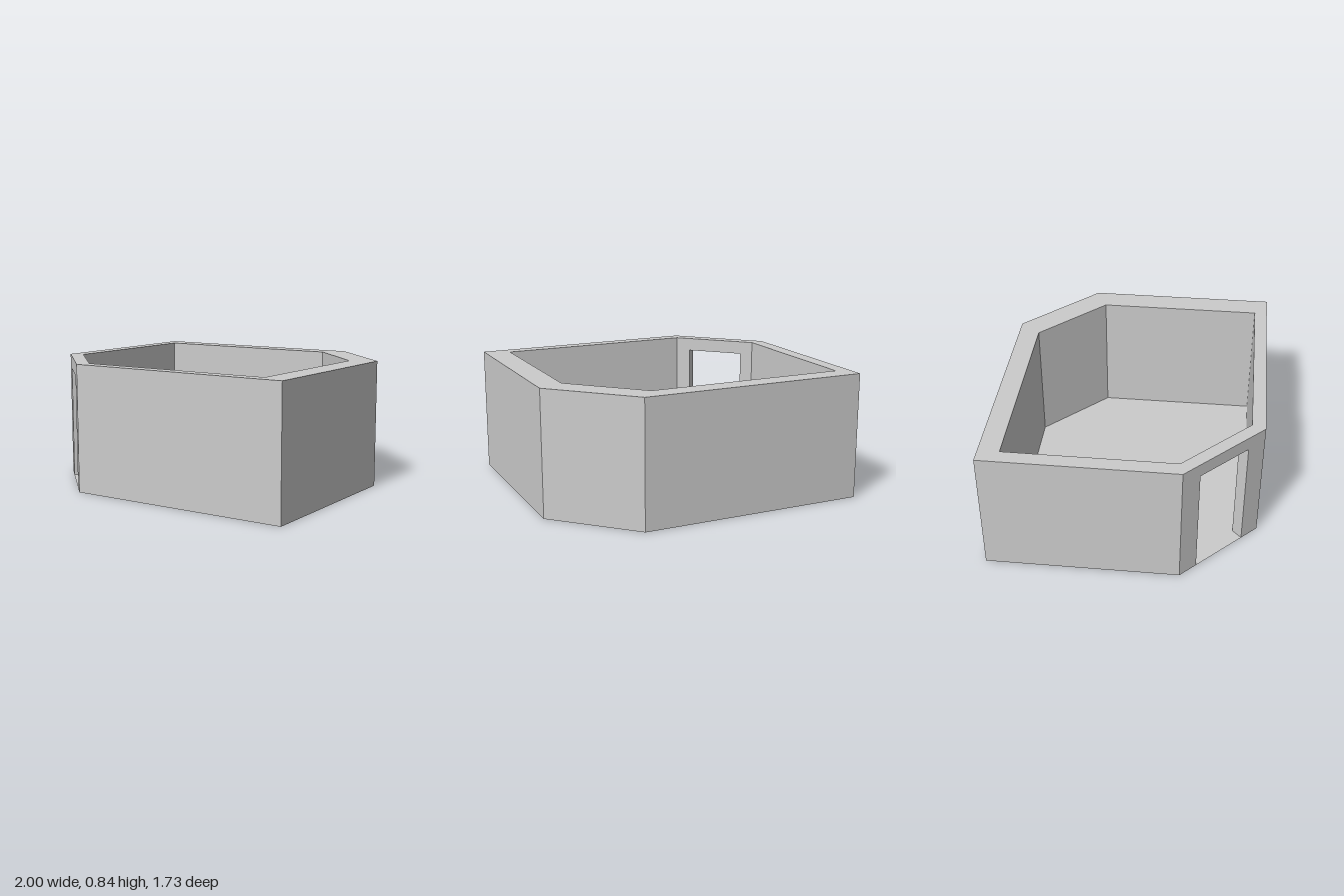
import * as THREE from 'three';

const HEIGHT = 0.84, DOOR_HEIGHT = 0.75;
const material = new THREE.MeshStandardMaterial({ color: 0xcccccc, flatShading: true, side: THREE.DoubleSide });

// Plan outlines as [x, z]; the first edge of each is the chamfer holding the doorway
const outer = [[-1, 0.382], [-0.519, 0.863], [1, 0.863], [1, -0.382], [0.519, -0.863], [-1, -0.863]];
const inner = [[-0.904, 0.359], [-0.486, 0.777], [0.834, 0.777], [0.834, -0.305], [0.413, -0.726], [-0.904, -0.726]];
const doorOuter = [[-0.9, 0.482], [-0.619, 0.763]];
const doorInner = [[-0.841, 0.422], [-0.559, 0.704]];

// Upright panel from plan point p to q, optionally notched by a doorway; it faces right of p -> q
function panel(p, q, height, door) {
  const run = new THREE.Vector2(q[0] - p[0], q[1] - p[1]);
  const length = run.length();
  const along = (d) => Math.hypot(d[0] - p[0], d[1] - p[1]);
  const pts = [[0, 0]];
  if (door) {
    const [a, b] = door.map(along).sort((m, n) => m - n);
    pts.push([a, 0], [a, DOOR_HEIGHT], [b, DOOR_HEIGHT], [b, 0]);
  }
  pts.push([length, 0], [length, height], [0, height]);
  const geo = new THREE.ShapeGeometry(new THREE.Shape(pts.map((v) => new THREE.Vector2(...v))));
  geo.rotateY(-Math.atan2(run.y, run.x));
  return geo.translate(p[0], 0, p[1]);
}

// Horizontal plate over a plan outline, with an optional hole
function plate(outline, y, hole) {
  const toVectors = (list) => list.map(([x, z]) => new THREE.Vector2(x, -z));
  const shape = new THREE.Shape(toVectors(outline));
  if (hole) shape.holes.push(new THREE.Path(toVectors(hole)));
  return new THREE.ShapeGeometry(shape).rotateX(-Math.PI / 2).translate(0, y, 0);
}

export function createModel() {
  const model = new THREE.Group();
  model.name = 'room';
  const add = (name, geometry) => {
    const mesh = new THREE.Mesh(geometry, material);
    mesh.name = name;
    model.add(mesh);
  };

  // Hollow walls, open underneath
  outer.forEach((p, i) => {
    const j = (i + 1) % outer.length;
    add('outerWall', panel(p, outer[j], HEIGHT, i === 0 && doorOuter));
    add('innerWall', panel(inner[j], inner[i], HEIGHT, i === 0 && doorInner));
  });
  add('wallTop', plate(outer, HEIGHT, inner));
  add('floor', plate(inner, 0));

  // Doorway lining
  const opening = [doorOuter[0], doorOuter[1], doorInner[1], doorInner[0]];
  add('doorJamb', panel(doorOuter[0], doorInner[0], DOOR_HEIGHT));
  add('doorJamb', panel(doorInner[1], doorOuter[1], DOOR_HEIGHT));
  add('doorThreshold', plate(opening, 0));
  const lintel = plate(opening, DOOR_HEIGHT);
  lintel.index.array.reverse(); // faces down
  lintel.computeVertexNormals();
  add('doorLintel', lintel);

  return model;
}
